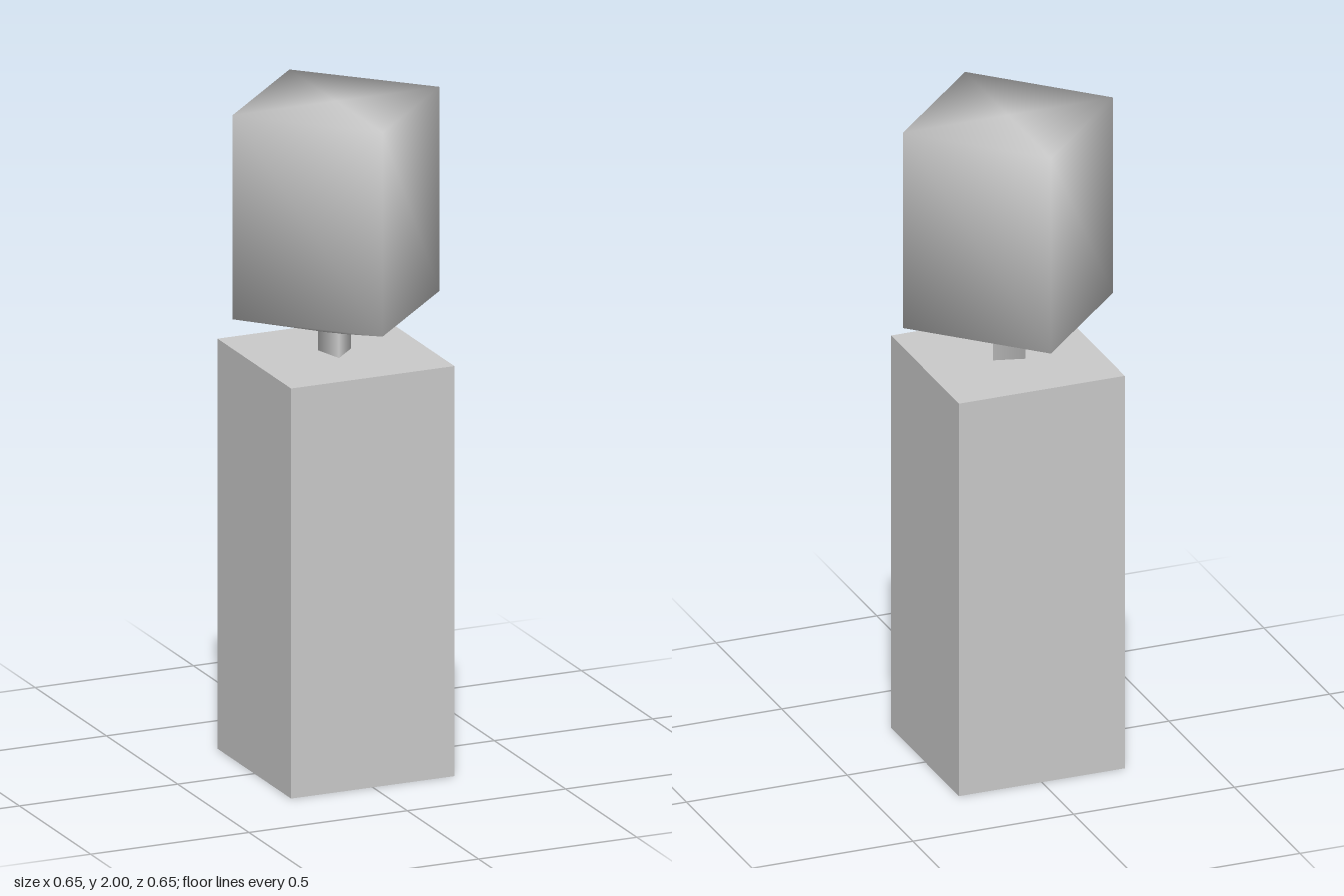
import * as THREE from 'three';

export function createModel() {
  const group = new THREE.Group();
  const material = new THREE.MeshStandardMaterial({ color: 0xcccccc });

  const add = (name, geometry, x, y, z) => {
    const mesh = new THREE.Mesh(geometry, material);
    mesh.name = name;
    mesh.position.set(x, y, z);
    group.add(mesh);
  };

  // Tall square pedestal
  const baseHeight = 1.24;
  const baseWidth = 0.516;
  add('pedestal', new THREE.BoxGeometry(baseWidth, baseHeight, baseWidth), 0, baseHeight / 2, 0);

  // Three-sided stem, one corner pointing to the back right
  const stemTop = 1.33;
  const stemHeight = stemTop - baseHeight;
  const stem = new THREE.CylinderGeometry(0.055, 0.055, stemHeight, 3, 1, false, Math.PI * 1.25);
  add('stem', stem, 0, baseHeight + stemHeight / 2, 0);

  // Four-sided head with a shallow pointed underside and a closed top, smoothly shaded
  const profile = [[0, 1.297], [0.327, 1.383], [0.327, 2], [0, 2]];
  const head = new THREE.LatheGeometry(profile.map(([r, y]) => new THREE.Vector2(r, y)), 4);
  add('head', head, 0, 0, 0);

  return group;
}
